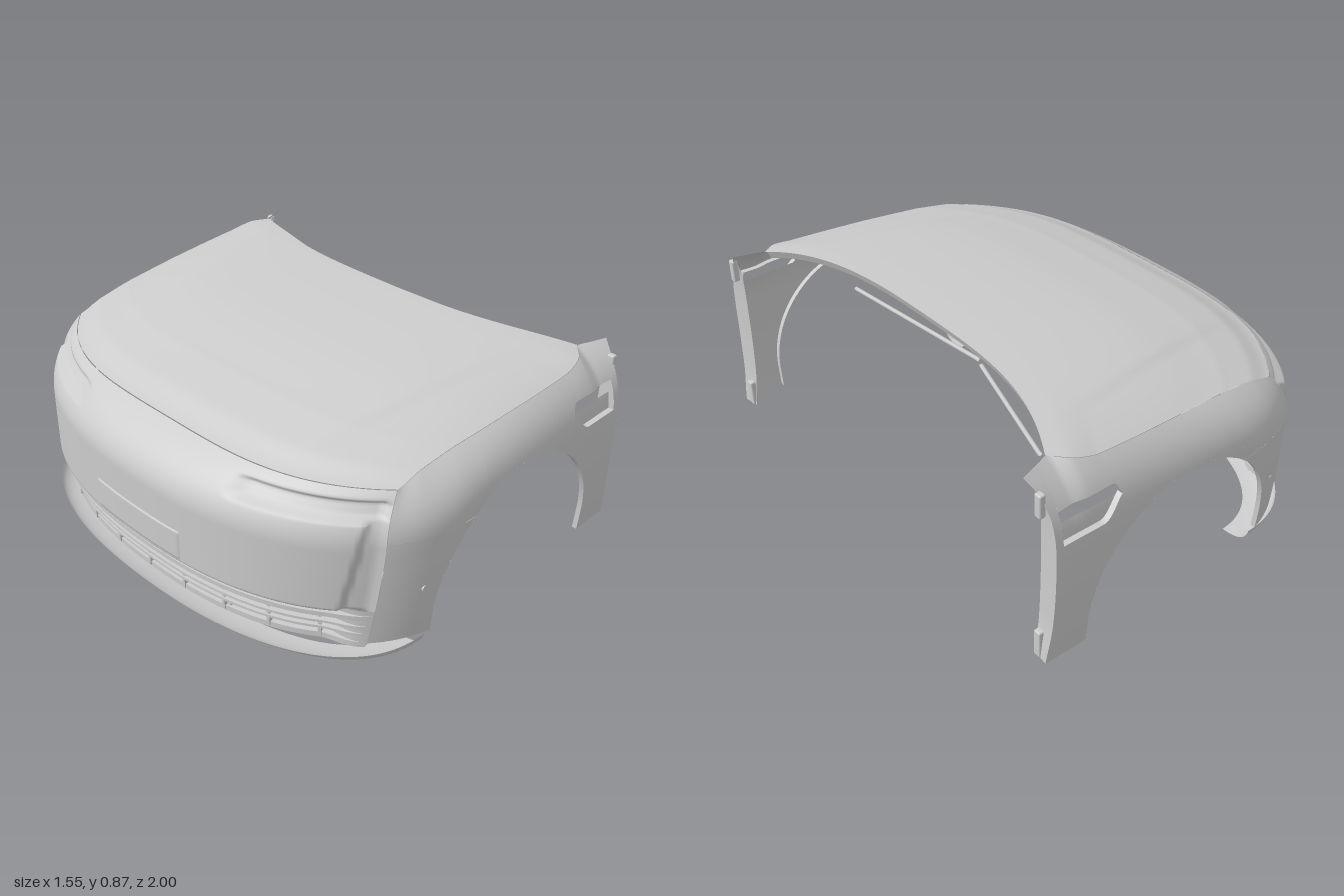
import * as THREE from 'three';
import { toCreasedNormals } from 'three/addons/utils/BufferGeometryUtils.js';
import { RoundedBoxGeometry } from 'three/addons/geometries/RoundedBoxGeometry.js';

const mat = new THREE.MeshStandardMaterial({ color: 0xcccccc, side: THREE.DoubleSide });
const { lerp, clamp, smoothstep } = THREE.MathUtils;
const N = 2.32; // exponent of the plan curve

// Surface from a rule f(u, v) -> [x, y, z]
function grid(f, nu, nv) {
  const pos = [], idx = [];
  for (let i = 0; i <= nu; i++) for (let j = 0; j <= nv; j++) pos.push(...f(i / nu, j / nv));
  for (let i = 0; i < nu; i++) for (let j = 0; j < nv; j++) {
    const a = i * (nv + 1) + j, b = a + nv + 1;
    idx.push(a, b, a + 1, b, b + 1, a + 1);
  }
  const g = new THREE.BufferGeometry();
  g.setAttribute('position', new THREE.Float32BufferAttribute(pos, 3));
  g.setIndex(idx);
  g.computeVertexNormals();
  return g;
}

// Piecewise smooth lookup through a few [key, value] points
function table(pts) {
  const c = new THREE.SplineCurve(pts.map(p => new THREE.Vector2(...p)));
  return t => {
    let i = 0;
    while (i < pts.length - 2 && t > pts[i + 1][0]) i++;
    return c.getPoint((i + clamp((t - pts[i][0]) / (pts[i + 1][0] - pts[i][0]), 0, 1)) / (pts.length - 1)).y;
  };
}

// Plan outline of the body
const xOut = z => -0.1 - 0.675 * Math.pow(Math.max(0, 1 - Math.pow(Math.abs(z), N)), 1 / N);
const zOut = x => x < -0.1 ? Math.pow(1 - Math.pow((-0.1 - x) / 0.675, N), 1 / N)
  : 1 - 0.015 * ((x + 0.1) / 0.86) ** 2;
function outNormal(z) {
  const nx = -Math.pow((-0.1 - xOut(z)) / 0.675, N - 1) / 0.675;
  const nz = Math.sign(z) * Math.pow(Math.abs(z), N - 1), l = Math.hypot(nx, nz);
  return [nx / l, nz / l];
}

// Hood: centre and edge height along its length, and half width
const centreY = table([[0, 0.69], [0.1, 0.735], [0.25, 0.778], [0.5, 0.825], [0.75, 0.851], [1, 0.865]]);
const edgeY = table([[0, 0.69], [0.1, 0.722], [0.25, 0.748], [0.5, 0.772], [0.85, 0.8], [1, 0.83]]);
const edgeZ = table([[0, 0.87], [0.5, 0.895], [0.85, 0.9], [0.94, 0.88], [1, 0.83]]);
const hoodFront = u => -0.61 + 0.25 * Math.pow(Math.abs(u), 3.5);
function hoodPoint(u, v) {
  const a = Math.abs(u), z = u * edgeZ(v);
  const x = lerp(hoodFront(u), 0.48 + 0.17 * a ** 3, v);
  const ridge = 0.009 * smoothstep(Math.abs(z), 0.53 + 0.2 * v, 0.58 + 0.2 * v) * Math.sin(Math.PI * v) * (1 - a ** 6);
  return [x, lerp(centreY(v), edgeY(v), a ** 6) - ridge, z];
}

// Fender: side skin point for a column x and height y
function seam(x) {
  if (x > 0.65) return [x, 0.833, 0.83 + 0.36 * (x - 0.65)];
  const v = clamp((x + 0.44) / 1.09, 0, 1);
  return [lerp(-0.36, 0.65, v), edgeY(v), edgeZ(v)];
}
const rearX = table([[0.1, 0.76], [0.25, 0.742], [0.45, 0.735], [0.72, 0.737], [0.8, 0.755], [0.835, 0.772]]);
function sidePoint(xc, y, inset = 0) {
  const low = Math.max(0, (0.5 - y) / 0.4), H = seam(xc);
  let x = xc - 0.03 * low * clamp((-0.262 - xc) / 0.178, 0, 1);
  const z = zOut(x) - 0.02 * low * low;
  const p = lerp(2.2, 3.2, clamp((xc + 0.44) / 0.4, 0, 1));
  const k = Math.pow(clamp((y - 0.5) / (H[1] - 0.5), 0, 1), p);
  x = lerp(x, H[0], k);
  if (xc > 0.705) x = lerp(0.705, rearX(y), (xc - 0.705) / 0.055);
  return [x, y, lerp(z, H[2], k) - inset];
}

// Bumper: point for across position u (-1..1), height y and depth below the skin
function nosePoint(u, y, inset = 0) {
  const low = Math.max(0, (0.5 - y) / 0.4), a = Math.abs(u);
  const z0 = u * zOut(-0.44 - 0.03 * low), n = outNormal(z0);
  const f = clamp((y - 0.5) / 0.19, 0, 1), k = Math.pow(f, 2.2);
  const x = lerp(xOut(z0), hoodFront(u), k);
  const z = lerp(z0 - Math.sign(u) * 0.02 * low * low * a ** 3, 0.87 * u, k);
  return [x - n[0] * inset, y, z - n[1] * inset];
}
// Recesses run out where the bumper meets the fender
const runOut = (u, from) => 1 - smoothstep(Math.abs(u), from, 1);
// Relief of the front face: raised centre panel, lamp slots, rolled lower edge
function relief(u, y) {
  const a = Math.abs(u), edge = lerp(0.915, 0.955, clamp((y - 0.25) / 0.35, 0, 1));
  const panel = (1 - smoothstep(a, edge - 0.012, edge)) * (1 - smoothstep(y, 0.594, 0.606));
  const sides = smoothstep(a, 0.42, 0.55) * runOut(u, 0.98);
  const lamp = smoothstep(y, 0.605, 0.617) * (1 - smoothstep(y, 0.65, 0.66));
  return sides * (0.016 * (1 - panel) * (1 - smoothstep(y, 0.64, 0.67)) + 0.012 * lamp)
    + 0.035 * runOut(u, 0.9) * Math.max(0, 1 - (y - 0.24) / 0.02) ** 2;
}

// Wheel arch and air outlet borders
const arch = x => 0.195 + Math.sqrt(Math.max(0, 0.425 ** 2 - (x - 0.163) ** 2));
const outletLow = x => 0.598 + 0.077 * (1 - smoothstep(x, 0.44, 0.54));
const outletHigh = x => 0.714 - 0.034 * Math.max(0, 1 - (x - 0.455) / 0.025) ** 2;

export function createModel() {
  const model = new THREE.Group();
  const add = (geo, name, parent = model) => {
    const m = new THREE.Mesh(geo, mat);
    m.name = name;
    parent.add(m);
    return m;
  };

  // Hood with its rear return and inner shelf
  add(grid((u, v) => hoodPoint(u * 2 - 1, lerp(0.002, 1, v)), 80, 60), 'hood');
  const fold = [[0, 0], [0.012, 0.03], [0.09, 0.036]];
  add(toCreasedNormals(grid((u, v) => {
    const p = hoodPoint((u * 2 - 1) * 0.99, 1), [forward, down] = fold[Math.round(v * 2)];
    return [p[0] - forward, p[1] - down, p[2]];
  }, 60, 2), 0.7), 'hoodRearReturn');

  // Front bumper skin and plate mount
  add(grid((u, v) => {
    const s = (u * 2 - 1) * 0.999, y = lerp(0.24, 0.689, v);
    return nosePoint(s, y, relief(s, y));
  }, 180, 72), 'bumperFace');
  add(grid((u, v) => {
    const border = Math.min(u, 1 - u, v, 1 - v) <= 0;
    return nosePoint(lerp(-0.268, 0.268, u), lerp(0.265, 0.39, v), border ? 0.004 : -0.004);
  }, 40, 20), 'plateMount');

  // Lower grille: backing, slats and dividers, leaning back toward the ground
  const grille = new THREE.Group();
  grille.name = 'lowerGrille';
  model.add(grille);
  const lean = y => 0.25 * (0.22 - y);
  add(grid((u, v) => {
    const s = (u * 2 - 1) * 0.999, y = lerp(0.095, 0.25, v);
    return nosePoint(s, y, (0.055 + lean(y)) * runOut(s, 0.85));
  }, 100, 4), 'grilleBacking', grille);
  const ring = [[0, 0.5], [0, -0.5], [0.035, -0.5], [0.035, 0.5], [0, 0.5]];
  for (const [y, h] of [[0.22, 0.018], [0.178, 0.01], [0.145, 0.01], [0.1, 0.022]])
    add(toCreasedNormals(grid((u, v) => {
      const s = (u * 2 - 1) * 0.995, [d, e] = ring[Math.round(v * 4)];
      const p = nosePoint(s, y, (0.02 + lean(y) + d) * runOut(s, 0.85));
      p[1] += e * h;
      return p;
    }, 100, 4), 0.6), 'grilleSlat', grille);
  for (const u of [-0.85, -0.65, -0.44, -0.22, 0, 0.22, 0.44, 0.65, 0.85]) {
    const b = add(new THREE.BoxGeometry(0.02, 0.13, 0.012), 'grilleDivider', grille);
    b.position.set(...nosePoint(u, 0.16, 0.055));
    const n = outNormal(b.position.z);
    b.rotation.y = Math.atan2(-n[1], n[0]);
  }
  // Intake frame behind the grille: rails, ends, centre post
  const frame = [[0.245, 0, 0.03, 0.8], [0.1, 0, 0.03, 0.8], [0.17, -0.385, 0.16, 0.03], [0.17, 0.385, 0.16, 0.03], [0.17, 0, 0.16, 0.05]];
  for (const [y, z, h, w] of frame)
    add(new THREE.BoxGeometry(0.05, h, w), 'intakeFrame', grille).position.set(-0.655, y, z);

  // Lower lip: a band that curls under and deepens toward the wheels
  const lipY = x => 0.055 * (1 - Math.sqrt(clamp((x + 0.77) / 0.51, 0, 1)));
  add(grid((u, v) => {
    const t = (u - 0.5) * Math.PI, d = 0.12 * v ** 1.5;
    const c = Math.pow(Math.max(0, Math.cos(t)), 2 / N), s = Math.sign(t) * Math.pow(Math.abs(Math.sin(t)), 2 / N);
    const x = -0.26 - (0.51 - d) * c, top = 0.07 - 0.01 * c;
    return [x, lerp(top, lipY(x), 1 - (1 - v) ** 2.5), (0.94 - d) * s];
  }, 90, 12), 'lowerLip');

  // Fenders, mirrored left and right
  for (const side of [1, -1]) {
    const fender = new THREE.Group();
    fender.name = side > 0 ? 'leftFender' : 'rightFender';
    fender.scale.z = side;
    model.add(fender);
    const top = x => seam(x)[1] - 0.001;
    const panel = (x0, x1, lo, hi, name, nx = 16, ease = t => t, inset = 0) =>
      add(grid((u, v) => {
        const x = lerp(x0, x1, ease(u));
        return sidePoint(x, lerp(lo(x), hi(x), v), inset);
      }, nx, 24), name, fender);
    const sill = () => 0.105, split = () => 0.526, split2 = () => 0.527;
    panel(-0.44, -0.262, sill, split, 'bumperSide');
    panel(-0.262, -0.1, arch, split, 'bumperSide', 20, t => t * t);
    panel(-0.44, -0.1, split2, top, 'fenderFront', 24);
    panel(-0.1, 0.455, arch, top, 'fenderArch', 40);
    panel(0.455, 0.588, arch, outletLow, 'fenderArch', 24, t => 1 - (1 - t) ** 2);
    panel(0.588, 0.705, sill, outletLow, 'fenderRear');
    panel(0.455, 0.705, outletHigh, top, 'fenderTop', 24);
    panel(0.705, 0.76, sill, top, 'fenderRear', 8);

    // Air outlet pocket and its rim
    panel(0.455, 0.705, outletLow, x => Math.max(outletLow(x), 0.662), 'outletPocket', 20, t => t, 0.022);
    for (const border of [outletLow, outletHigh])
      add(grid((u, v) => {
        const x = lerp(0.455, 0.705, u);
        return sidePoint(x, border(x), 0.022 * v);
      }, 24, 1), 'outletRim', fender);
    add(grid((u, v) => sidePoint(0.705, lerp(0.598, 0.714, u), 0.022 * v), 6, 1), 'outletRim', fender);

    // Folded edges: wheel arch, its lower legs and the door side
    add(grid((u, v) => {
      const x = 0.163 - 0.425 * Math.cos(u * Math.PI);
      return sidePoint(x, arch(x), 0.02 * v);
    }, 60, 1), 'archFold', fender);
    for (const x of [-0.262, 0.588])
      add(grid((u, v) => sidePoint(x, lerp(0.105, 0.195, u), 0.02 * v), 4, 1), 'archFold', fender);
    add(grid((u, v) => {
      const y = lerp(0.105, 0.8, u), p = sidePoint(0.76, y);
      return [p[0] - 0.01 * v, y, lerp(p[2], Math.min(p[2], 0.9), v)];
    }, 30, 1), 'doorEdgeFold', fender);
    // Mounting tabs on the door edge
    for (const [y, h] of [[0.745, 0.09], [0.16, 0.11]])
      add(new RoundedBoxGeometry(0.025, h, 0.03, 2, 0.006), 'mountingTab', fender).position.set(0.747, y, 0.92);

    // Side sensor
    const sensor = add(new THREE.CylinderGeometry(0.012, 0.012, 0.012, 24), 'sideSensor', fender);
    sensor.rotation.x = Math.PI / 2;
    sensor.position.set(...sidePoint(-0.305, 0.315, 0.003));

    // Lamp housing, duct and inner wall behind the bumper
    add(new RoundedBoxGeometry(0.05, 0.21, 0.08, 3, 0.015), 'lampHousing', fender).position.set(-0.41, 0.485, 0.815);
    add(new RoundedBoxGeometry(0.06, 0.08, 0.1, 3, 0.01), 'cornerDuct', fender).position.set(-0.4, 0.31, 0.81);
    add(new THREE.BoxGeometry(0.05, 0.31, 0.008), 'innerWall', fender).position.set(-0.54, 0.425, 0.745);
    // Rails behind the lamp and above the grille corner
    for (const [y, name] of [[0.63, 'lampRail'], [0.235, 'cornerRail']]) {
      const rail = new THREE.CatmullRomCurve3([0.52, 0.7, 0.85, 0.93].map(u => new THREE.Vector3(...nosePoint(u, y, 0.055))));
      add(new THREE.TubeGeometry(rail, 24, 0.018, 8), name, fender);
    }
  }

  // Seal strips along the rear of the hood
  for (const [a, b] of [[[0.5, 0.835, -0.33], [0.645, 0.815, -0.8]], [[0.49, 0.84, -0.3], [0.535, 0.83, 0.37]]]) {
    const line = new THREE.LineCurve3(new THREE.Vector3(...a), new THREE.Vector3(...b));
    add(new THREE.TubeGeometry(line, 1, 0.008, 8), 'sealStrip');
  }
  return model;
}
